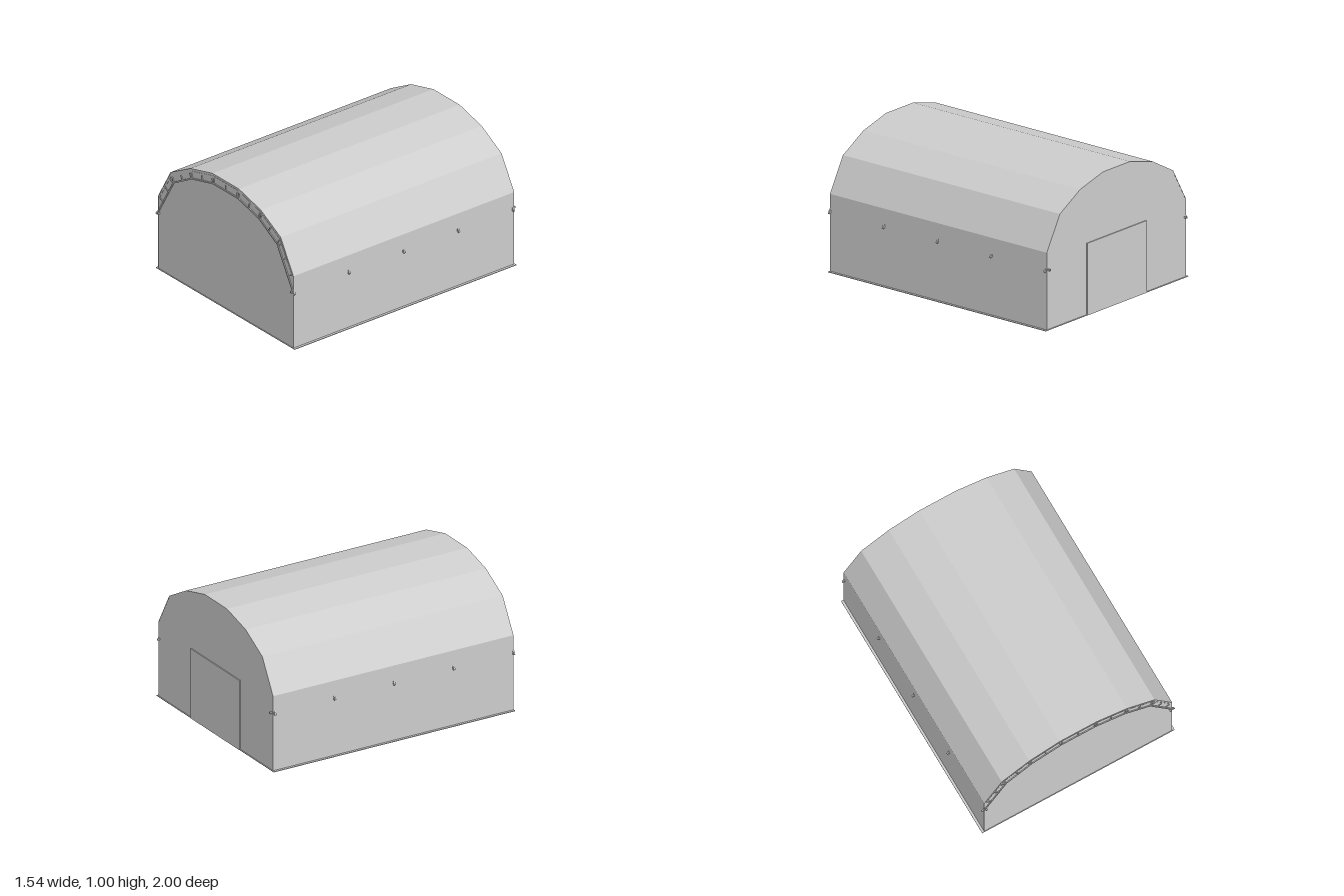
import * as THREE from 'three';

const material = new THREE.MeshStandardMaterial({ color: 0xcccccc, side: THREE.DoubleSide });

// Right half of each profile, bottom to top; mirrored to give the whole outline
const mirrored = half => [...half, ...half.map(([x, y]) => [-x, y]).reverse()]
  .map(([x, y]) => new THREE.Vector2(x, y));
const hull = mirrored([[0.75, 0], [0.75, 0.57], [0.61, 0.817], [0.39, 0.94], [0.145, 1.004]]);
const lining = mirrored([[0.746, 0.002], [0.746, 0.569], [0.607, 0.814], [0.388, 0.936], [0.1445, 1.0]]);
const innerChord = mirrored([[0.757, 0.43], [0.575, 0.75], [0.372, 0.868], [0.135, 0.929]]);
const outerChord = mirrored([[0.735, 0.565], [0.597, 0.8], [0.382, 0.921], [0.14, 0.985]]);

function add(parent, name, geometry, x = 0, y = 0, z = 0) {
  const mesh = new THREE.Mesh(geometry, material);
  mesh.name = name;
  mesh.position.set(x, y, z);
  parent.add(mesh);
  return mesh;
}

function extrude(shape, depth) {
  return new THREE.ExtrudeGeometry(shape, { depth, bevelEnabled: false });
}

// Square bar between two points of the xy plane
function bar(parent, name, a, b, width, depth) {
  const mid = a.clone().add(b).multiplyScalar(0.5);
  const mesh = add(parent, name, new THREE.BoxGeometry(a.distanceTo(b), width, depth), mid.x, mid.y);
  mesh.rotation.z = Math.atan2(b.y - a.y, b.x - a.x);
}

// Arched frame: two chords with short studs standing on the inner one
function makeFrame() {
  const frame = new THREE.Group();
  frame.name = 'archFrame';
  for (let i = 0; i < innerChord.length - 1; i++) {
    const a = innerChord[i], b = innerChord[i + 1];
    bar(frame, 'innerChord', a, b, 0.01, 0.014);
    bar(frame, 'outerChord', outerChord[i], outerChord[i + 1], 0.004, 0.004);
    const normal = new THREE.Vector2(b.y - a.y, a.x - b.x).normalize();
    const end = i === 0 || i === innerChord.length - 2;
    const steps = end ? [0.37, 0.7, 0.98] : [0.02, 0.5, 0.98];
    for (const t of steps) {
      // the studs on the steep ends are spaced from the foot upwards
      const p = a.clone().lerp(b, i === innerChord.length - 2 ? 1 - t : t);
      bar(frame, 'stud', p, p.clone().addScaledVector(normal, 0.04), 0.007, 0.012);
    }
  }
  return frame;
}

export function createModel() {
  const model = new THREE.Group();
  model.name = 'archedHall';

  // Faceted roof and side walls
  const shell = new THREE.Shape(hull);
  shell.holes.push(new THREE.Path(lining));
  add(model, 'roofAndSides', extrude(shell, 1.962), 0, 0, -0.98);

  // End walls
  add(model, 'frontWall', extrude(new THREE.Shape(lining), 0.006), 0, 0, 0.974);
  add(model, 'backWall', extrude(new THREE.Shape(lining), 0.006), 0, 0, -0.979);

  // Door in the back wall
  add(model, 'door', new THREE.BoxGeometry(0.64, 0.528, 0.01), 0, 0.264, -0.982);

  // Ground plate, a little wider than the hall
  add(model, 'groundPlate', new THREE.BoxGeometry(1.536, 0.005, 1.97), 0, 0.0025, 0);

  // Frames whose feet poke through the side walls
  for (const z of [-0.968, -0.48, 0.005, 0.492, 0.98]) {
    const frame = makeFrame();
    frame.position.z = z;
    model.add(frame);
    for (const side of [-1, 1]) {
      const foot = add(model, 'frameFoot', new THREE.BoxGeometry(0.012, 0.03, 0.012), side * 0.757, 0.44, z);
      foot.rotation.z = side * 0.52;
    }
  }

  // Long rails with ends standing out of the end walls
  for (const side of [-1, 1]) {
    add(model, 'sideRail', new THREE.BoxGeometry(0.01, 0.012, 1.995), side * 0.735, 0.442, -0.0025);
  }
  return model;
}
